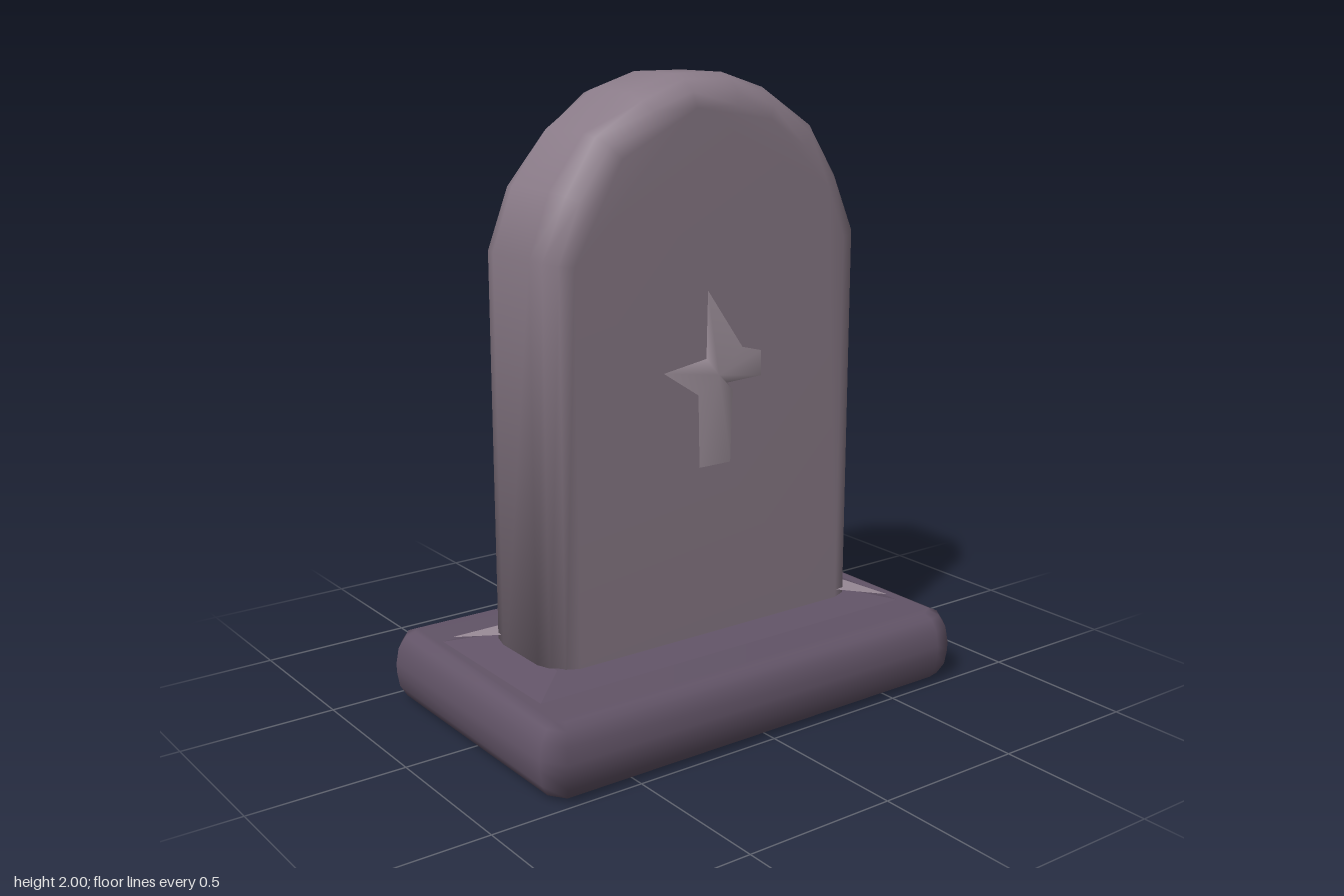
import * as THREE from 'three';
import { mergeVertices } from 'three/addons/utils/BufferGeometryUtils.js';

const material = (name, color, side = THREE.FrontSide) => {
  const m = new THREE.MeshStandardMaterial({ color, side });
  m.name = name;
  return m;
};

// Weld vertices so area-weighted normals keep big faces flat and edges soft.
function soften(geometry) {
  geometry.deleteAttribute('uv');
  geometry.deleteAttribute('normal');
  geometry.clearGroups();
  const welded = mergeVertices(geometry, 1e-4);
  welded.computeVertexNormals();
  return welded;
}

// Extruded outline whose rounded edges stay inside the outline.
function roundedSlab(points, total, bevelThickness, bevelSize) {
  const shape = new THREE.Shape(points.map(([x, y]) => new THREE.Vector2(x, y)));
  const g = new THREE.ExtrudeGeometry(shape, {
    depth: total - 2 * bevelThickness, bevelThickness, bevelSize,
    bevelOffset: -bevelSize, bevelSegments: 3,
  });
  return g.translate(0, 0, bevelThickness - total / 2);
}

function triangles(points) {
  const g = new THREE.BufferGeometry();
  g.setAttribute('position', new THREE.Float32BufferAttribute(points.flat(), 3));
  g.computeVertexNormals();
  return g;
}

export function createModel() {
  const group = new THREE.Group();
  const stone = material('stone', 0x8a7b88);
  const stoneChip = material('stone chip', 0x9a8c98, THREE.DoubleSide);
  const baseStone = material('base stone', 0x625467);
  const carving = material('carving', 0xa2949f);
  const add = (name, geometry, mat) => {
    const mesh = new THREE.Mesh(geometry, mat);
    mesh.name = name;
    group.add(mesh);
    return mesh;
  };

  // Upright slab with an arched top and worn front edge
  const half = [[0.6, 0.1], [0.6, 1.49], [0.53, 1.68], [0.41, 1.84], [0.25, 1.95], [0.09, 2]];
  const outline = [...half, ...half.map(([x, y]) => [-x, y]).reverse()];
  const slab = roundedSlab(outline, 0.4, 0.1, 0.09);
  const p = slab.attributes.position;
  for (let i = 0; i < p.count; i++) {
    const x = p.getX(i), y = p.getY(i), z = p.getZ(i);
    if (y > 1.5 && Math.abs(z) > 0.12) {
      const wear = 1 - 0.025 * (0.5 + 0.5 * Math.sin(x * 23 + z * 9));
      p.setXY(i, x * wear, 1.4 + (y - 1.4) * wear);
    }
  }
  add('headstone', soften(slab), stone);

  // Plinth with clipped corners
  const plan = [[-0.8, 0.43], [-0.75, 0.5], [0.7, 0.5], [0.76, 0.485], [0.8, 0.43],
    [0.8, -0.43], [0.76, -0.48], [-0.75, -0.505], [-0.8, -0.44]];
  const plinth = roundedSlab(plan.map(([x, z]) => [x, -z]).reverse(), 0.23, 0.1, 0.06);
  plinth.rotateX(-Math.PI / 2).translate(0, 0.118, 0);
  add('plinth', soften(plinth), baseStone);

  // Low sloping collar where the headstone meets the plinth
  const collar = new THREE.CylinderGeometry(Math.SQRT1_2, Math.SQRT1_2, 0.05, 4, 1).toNonIndexed();
  collar.rotateY(Math.PI / 4);
  const c = collar.attributes.position;
  for (let i = 0; i < c.count; i++) {
    const top = c.getY(i) > 0;
    c.setXYZ(i, c.getX(i) * 2 * (top ? 0.58 : 0.74), top ? 0.265 : 0.225,
      c.getZ(i) * 2 * (top ? 0.18 : 0.32));
  }
  collar.computeVertexNormals();
  add('collar', collar, baseStone);

  // Pointed chips spreading from three corners of the headstone
  for (const [sx, sz, tx, tz] of [[1, 1, 0.69, 0.265], [1, -1, 0.67, 0.235], [-1, -1, 0.685, 0.275]]) {
    add('cornerChip', triangles([
      [sx * 0.595, 0.285, sz * 0.12], [sx * tx, 0.248, sz * tz], [sx * 0.51, 0.285, sz * 0.195],
    ].slice()[sx * sz > 0 ? 'reverse' : 'slice']()), stoneChip);
  }

  // Worn cross, raised to a shallow peak
  const rim = [[-0.035, 1.36], [-0.04, 1.15], [-0.2, 1.125], [-0.07, 1.04], [-0.065, 0.81],
    [0.055, 0.81], [0.062, 1.04], [0.04, 1.065], [0.175, 1.07], [0.175, 1.15], [0.1, 1.17]];
  const faces = rim.flatMap(([x, y], i) => {
    const [nx, ny] = rim[(i + 1) % rim.length];
    return [[-0.01, 1.1, 0.227], [x, y, 0.202], [nx, ny, 0.202]];
  });
  add('cross', soften(triangles(faces).setAttribute('uv', new THREE.Float32BufferAttribute(faces.length * 2, 2))), carving);

  return group;
}
